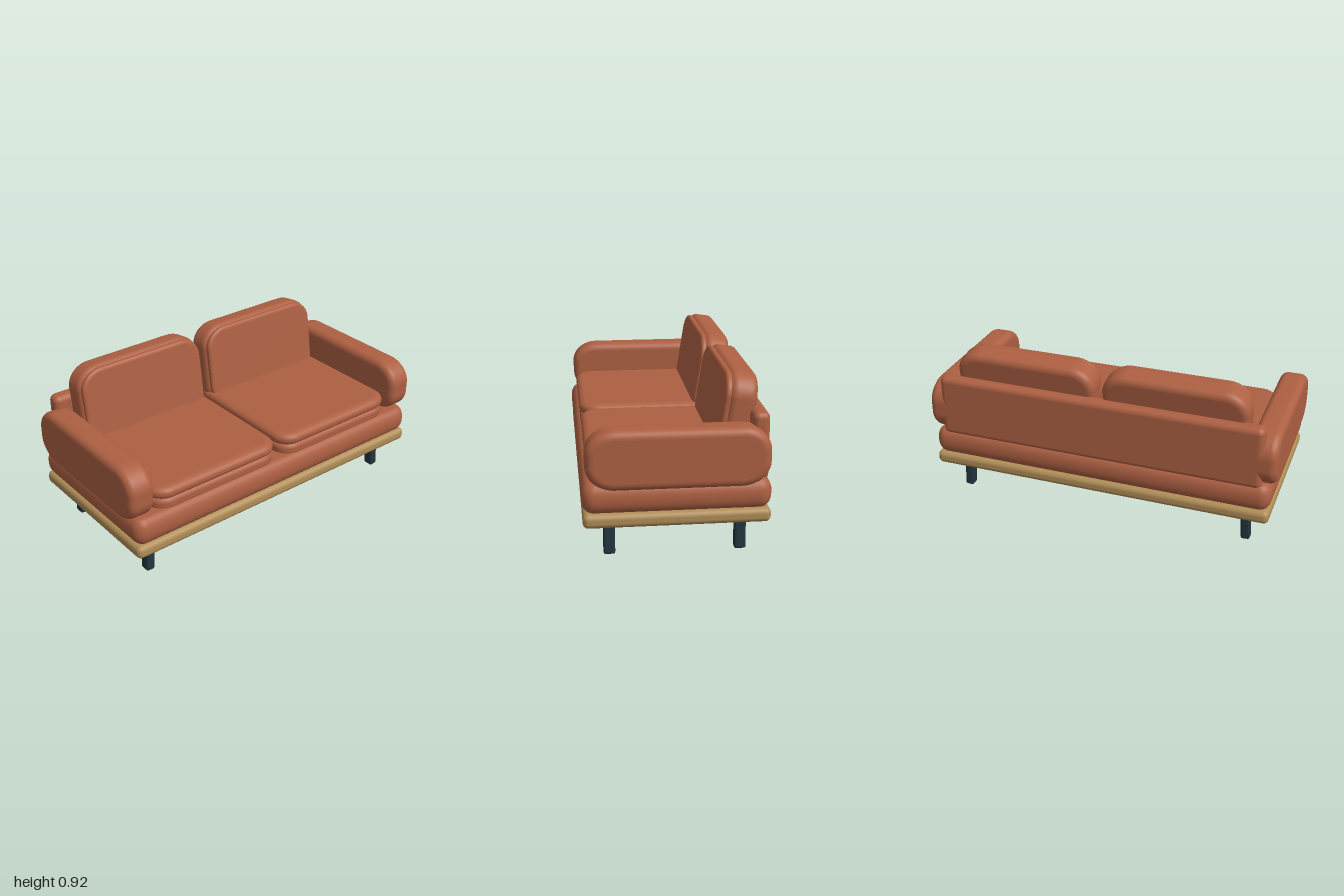
import * as THREE from 'three';
import { mergeVertices } from 'three/addons/utils/BufferGeometryUtils.js';
import { RoundedBoxGeometry } from 'three/addons/geometries/RoundedBoxGeometry.js';

const leather = new THREE.MeshStandardMaterial({ color: 0xad6042 });
leather.name = 'terracotta upholstery';
const wood = new THREE.MeshStandardMaterial({ color: 0xb08d57 });
wood.name = 'oak';
const steel = new THREE.MeshStandardMaterial({ color: 0x22353d });
steel.name = 'dark legs';

// Rectangle with elliptical corners, centred on the origin
function softRect(w, h, rx, ry) {
  const s = new THREE.Shape();
  const a = w / 2 - rx, b = h / 2 - ry, q = Math.PI / 2;
  s.moveTo(w / 2, -b);
  s.absellipse(a, b, rx, ry, 0, q);
  s.absellipse(-a, b, rx, ry, q, 2 * q);
  s.absellipse(-a, -b, rx, ry, 2 * q, 3 * q);
  s.absellipse(a, -b, rx, ry, 3 * q, 4 * q);
  return s;
}

// Padded slab: a soft rectangle of w by h, t thick along z, with rounded rims
function slab(w, h, t, rx, ry, rim, rimDepth = rim) {
  const geo = new THREE.ExtrudeGeometry(softRect(w, h, rx, ry), {
    depth: t - 2 * rimDepth, bevelEnabled: true, bevelSize: rim, bevelOffset: -rim,
    bevelThickness: rimDepth, bevelSegments: 7, curveSegments: 12,
  });
  geo.translate(0, 0, rimDepth - t / 2);
  geo.deleteAttribute('uv');
  geo.deleteAttribute('normal');
  const smooth = mergeVertices(geo, 1e-5);
  smooth.computeVertexNormals();
  return smooth;
}

function add(parent, name, geo, mat, x, y, z) {
  const mesh = new THREE.Mesh(geo, mat);
  mesh.name = name;
  mesh.position.set(x, y, z);
  parent.add(mesh);
  return mesh;
}

export function createModel() {
  const sofa = new THREE.Group();
  sofa.name = 'sofa';

  // Platform and its full-width mattress
  add(sofa, 'woodenPlatform', new RoundedBoxGeometry(1.955, 0.076, 0.948, 5, 0.03), wood, 0, 0.227, 0);
  add(sofa, 'baseCushion',
    slab(1.96, 0.958, 0.152, 0.065, 0.065, 0.045, 0.07).rotateX(-Math.PI / 2),
    leather, 0, 0.34, 0);

  // Low back rail
  add(sofa, 'backRail', new RoundedBoxGeometry(1.85, 0.36, 0.088, 6, 0.034), leather, 0, 0.572, -0.422);

  const armGeo = slab(0.926, 0.31, 0.152, 0.15, 0.125, 0.042).rotateY(Math.PI / 2);
  const seatLower = slab(0.815, 0.8, 0.075, 0.1, 0.1, 0.028).rotateX(-Math.PI / 2);
  const seatUpper = slab(0.83, 0.81, 0.072, 0.11, 0.11, 0.045, 0.032).rotateX(-Math.PI / 2);
  const backBody = slab(0.81, 0.495, 0.145, 0.14, 0.125, 0.04);
  const backFace = slab(0.785, 0.47, 0.04, 0.13, 0.115, 0.022, 0.016);
  const legGeo = new RoundedBoxGeometry(0.05, 0.21, 0.06, 4, 0.012);

  for (const side of [1, -1]) {
    const label = side > 0 ? 'left' : 'right';
    add(sofa, label + 'Arm', armGeo, leather, side * 0.924, 0.545, -0.003);

    // Seat cushion in two halves that meet at a seam
    const seat = new THREE.Group();
    seat.name = label + 'SeatCushion';
    add(seat, 'lowerHalf', seatLower, leather, 0, 0.432, 0.045);
    add(seat, 'upperHalf', seatUpper, leather, 0, 0.498, 0.045);
    seat.position.x = side * 0.426;
    sofa.add(seat);

    // Leaning back cushion with a stitched front panel
    const back = new THREE.Group();
    back.name = label + 'BackCushion';
    add(back, 'body', backBody, leather, 0, 0, -0.012);
    add(back, 'frontPanel', backFace, leather, 0, 0, 0.062);
    back.position.set(side * 0.425, 0.67, -0.315);
    back.rotation.x = -0.15;
    sofa.add(back);

    // Legs splayed slightly outwards
    for (const end of [1, -1]) {
      const leg = add(sofa, label + (end > 0 ? 'Front' : 'Back') + 'Leg', legGeo, steel,
        side * 0.836, 0.106, end * 0.338);
      leg.rotation.z = side * 0.06;
    }
  }
  return sofa;
}
